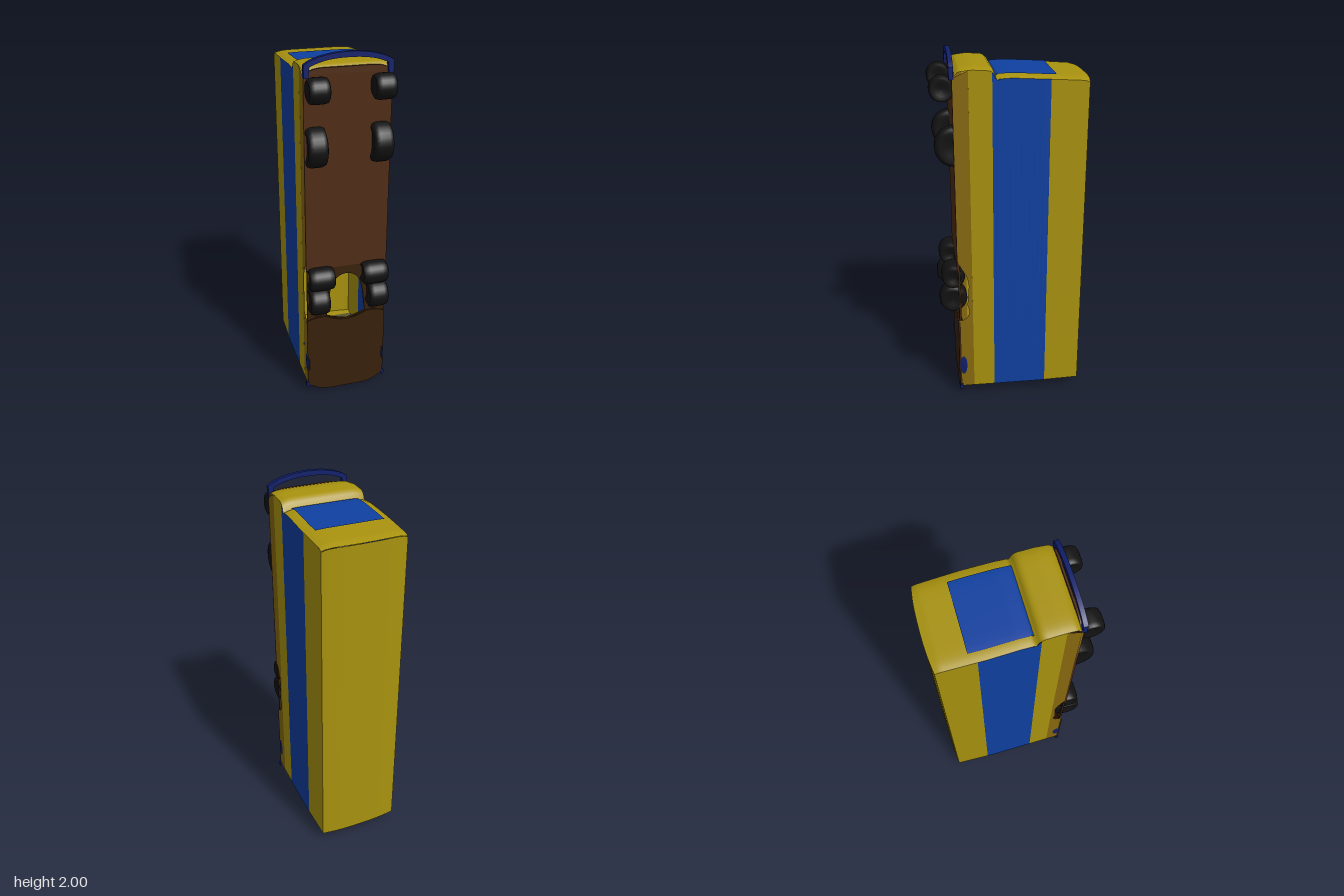
import * as THREE from 'three';

const paint = (color) => new THREE.MeshStandardMaterial({ color, side: THREE.DoubleSide });
const yellow = paint(0xa8920f), ochre = paint(0x87690f), blue = paint(0x0f40a0), navy = paint(0x101f6b);
const darkBlue = paint(0x0b2c74), slate = paint(0x55552e), brown = paint(0x4f2c14), umber = paint(0x38210c), black = paint(0x121213);

export function createModel() {
  const model = new THREE.Group();
  const add = (name, geo, mat, x = 0, y = 0, z = 0) => {
    const m = new THREE.Mesh(geo, mat);
    m.name = name;
    m.position.set(x, y, z);
    model.add(m);
    return m;
  };

  // Skin through a grid of points given by point(u, v), u and v in 0..1
  const skin = (nu, nv, point) => {
    const pos = [], idx = [];
    for (let i = 0; i <= nu; i++) for (let j = 0; j <= nv; j++) pos.push(...point(i / nu, j / nv));
    for (let i = 0; i < nu; i++) for (let j = 0; j < nv; j++) {
      const a = i * (nv + 1) + j, b = a + nv + 1;
      idx.push(a, b, a + 1, b, b + 1, a + 1);
    }
    const g = new THREE.BufferGeometry();
    g.setAttribute('position', new THREE.Float32BufferAttribute(pos, 3));
    g.setIndex(idx);
    g.computeVertexNormals();
    return g;
  };

  // Piecewise linear lookup in [position, value] pairs sorted by position
  const lookup = (table, t) => {
    for (let i = 1; i < table.length; i++) {
      const [a, p] = table[i - 1], [b, q] = table[i];
      if (t <= b) return p + (q - p) * Math.max(0, (t - a) / (b - a));
    }
    return table[table.length - 1][1];
  };
  const halfWidth = (z) => lookup([[-0.4, 0.229], [-0.16, 0.235], [0.1, 0.231], [0.3, 0.228]], z);
  const nose = [[-0.405, 1.86], [-0.38, 1.872], [-0.24, 1.882], [0.0, 1.896], [0.07, 1.892], [0.08, 1.88],
    [0.09, 1.918], [0.11, 1.934], [0.2, 1.94], [0.27, 1.932], [0.3, 1.9]];
  const edgeDrop = (s) => 0.014 * Math.pow(Math.abs(s), 8);
  const noseY = (s, z) => lookup(nose, z) - edgeDrop(s);
  const roofZ = (s) => -0.417 + 0.016 * Math.pow(Math.abs(s), 2.5);
  const tailY = 0.055;

  // Roof
  add('roof', skin(20, 1, (u, v) => {
    const s = u * 2 - 1;
    return [s * 0.229, v ? noseY(s, -0.405) : tailY, roofZ(s)];
  }), yellow);

  // Side bands, from the roof down to the sill
  const bands = [['upperSide', -0.401, -0.2, yellow], ['windowBand', -0.2, 0.1, blue], ['lowerSide', 0.1, 0.22, yellow]];
  for (const side of [1, -1]) {
    for (const [name, z0, z1, mat] of bands) {
      add(name, skin(12, 1, (u, v) => {
        const z = z0 + (z1 - z0) * u;
        return [side * halfWidth(z), v ? noseY(1, z) : tailY, z];
      }), mat);
    }
    // Sill, cut out around the rear wheels
    const sill = new THREE.Shape();
    sill.moveTo(0.22, tailY);
    sill.lineTo(0.3, tailY);
    sill.lineTo(0.3, 0.5);
    sill.bezierCurveTo(0.23, 0.51, 0.235, 0.56, 0.25, 0.6);
    sill.lineTo(0.24, 0.72);
    sill.bezierCurveTo(0.24, 0.8, 0.3, 0.84, 0.3, 0.9);
    sill.lineTo(0.3, 1.886);
    sill.lineTo(0.22, 1.925);
    add('sill', new THREE.ShapeGeometry(sill, 10).rotateY(-Math.PI / 2), ochre, side * 0.229);
  }

  // Front end with windscreen
  const noseSkin = (z0, z1, width, lift) => skin(50, 24, (u, v) => {
    const z = z0 + (z1 - z0) * u, s = (v * 2 - 1) * width;
    const crown = z < -0.39 ? roofZ(s) - roofZ(1) : 0;
    return [s * halfWidth(z), noseY(s, z) + lift, z + crown];
  });
  add('frontEnd', noseSkin(-0.401, 0.3, 1, 0), yellow);
  add('windscreen', noseSkin(-0.235, 0.078, 0.8, 0.005), blue);

  // Rear end in horizontal stripes
  const stripes = [[-0.401, -0.36, yellow], [-0.36, -0.33, slate], [-0.33, -0.28, ochre],
    [-0.28, 0.08, darkBlue], [0.08, 0.2, ochre], [0.2, 0.3, umber]];
  stripes.forEach(([z0, z1, mat], i) => add('rearPanel', skin(4, 20, (u, v) => {
    const s = v * 2 - 1, z = z0 + (z1 - z0) * u;
    return [s * halfWidth(z), tailY, i === 0 && u === 0 ? roofZ(s) : z];
  }), mat));

  // Floor plates
  const plate = (shape, depth) => new THREE.ExtrudeGeometry(shape, { depth, bevelEnabled: false, curveSegments: 16 });
  const frontFloor = new THREE.Shape();
  frontFloor.moveTo(-0.229, 0.82);
  frontFloor.lineTo(0.229, 0.82);
  frontFloor.lineTo(0.229, 1.89);
  frontFloor.quadraticCurveTo(0.2, 1.925, 0.12, 1.925);
  frontFloor.lineTo(-0.12, 1.925);
  frontFloor.quadraticCurveTo(-0.2, 1.925, -0.229, 1.89);
  add('frontFloor', plate(frontFloor, 0.012), brown, 0, 0, 0.29);

  const midFloor = new THREE.Shape();
  midFloor.moveTo(-0.225, 0.46);
  midFloor.lineTo(0.225, 0.46);
  midFloor.lineTo(0.225, 0.82);
  midFloor.lineTo(-0.225, 0.82);
  const arch = new THREE.Path();
  arch.moveTo(0, 0.475);
  arch.quadraticCurveTo(0.06, 0.485, 0.115, 0.51);
  arch.bezierCurveTo(0.09, 0.58, 0.12, 0.76, 0, 0.77);
  arch.bezierCurveTo(-0.12, 0.76, -0.09, 0.58, -0.115, 0.51);
  arch.quadraticCurveTo(-0.06, 0.485, 0, 0.475);
  midFloor.holes.push(arch);
  for (const side of [1, -1]) {
    for (const [x, y, rx, ry] of [[0.165, 0.545, 0.035, 0.03], [0.165, 0.71, 0.025, 0.025]]) {
      const gap = new THREE.Path();
      gap.absellipse(side * x, y, rx, ry, 0, Math.PI * 2);
      midFloor.holes.push(gap);
    }
  }
  add('rearAxleFloor', plate(midFloor, 0.012), umber, 0, 0, 0.285);

  const rearFloor = new THREE.Shape();
  rearFloor.moveTo(-0.229, 0.49);
  rearFloor.lineTo(-0.229, 0.05);
  rearFloor.lineTo(-0.195, 0.04);
  rearFloor.quadraticCurveTo(-0.16, 0.005, -0.08, 0.005);
  rearFloor.lineTo(0.08, 0.005);
  rearFloor.quadraticCurveTo(0.16, 0.005, 0.195, 0.04);
  rearFloor.lineTo(0.229, 0.05);
  rearFloor.lineTo(0.229, 0.49);
  rearFloor.quadraticCurveTo(0.2, 0.51, 0.12, 0.51);
  rearFloor.quadraticCurveTo(0, 0.44, -0.12, 0.51);
  rearFloor.quadraticCurveTo(-0.2, 0.51, -0.229, 0.49);
  add('rearFloor', plate(rearFloor, 0.012), umber, 0, 0, 0.292);

  // Rear bumper lip with small corner fins
  const lip = new THREE.Shape();
  lip.moveTo(-0.19, 0.06);
  lip.quadraticCurveTo(-0.16, 0, -0.08, 0);
  lip.lineTo(0.08, 0);
  lip.quadraticCurveTo(0.16, 0, 0.19, 0.06);
  add('rearBumper', plate(lip, 0.012), navy, 0, 0, 0.281);

  // Front bumper bar: a flat bow on two struts
  const bow = new THREE.Shape();
  bow.moveTo(-0.23, 1.88);
  bow.lineTo(-0.23, 1.945);
  bow.bezierCurveTo(-0.18, 1.985, -0.08, 2, 0, 2);
  bow.bezierCurveTo(0.08, 2, 0.18, 1.985, 0.23, 1.945);
  bow.lineTo(0.23, 1.88);
  bow.lineTo(0.205, 1.88);
  bow.lineTo(0.2, 1.935);
  bow.bezierCurveTo(0.14, 1.965, 0.07, 1.972, 0, 1.972);
  bow.bezierCurveTo(-0.07, 1.972, -0.14, 1.965, -0.2, 1.935);
  bow.lineTo(-0.205, 1.88);
  add('frontBumper', plate(bow, 0.024), navy, 0, 0, 0.293);

  // Tyre with rounded shoulders, axis along x
  const tyre = (r, w) => {
    const h = w / 2, profile = [[0, -h * 0.8], [r * 0.5, -h * 0.85], [r * 0.75, -h], [r * 0.92, -h * 0.88], [r, -h * 0.5],
      [r, h * 0.5], [r * 0.92, h * 0.88], [r * 0.75, h], [r * 0.5, h * 0.85], [0, h * 0.8]];
    return new THREE.LatheGeometry(profile.map(([x, y]) => new THREE.Vector2(x, y)), 28).rotateZ(Math.PI / 2);
  };
  // [name, y, z, radius, inner x, outer x]
  const wheels = [['frontWheel', 1.828, 0.352, 0.066, 0.115, 0.222], ['secondWheel', 1.525, 0.292, 0.108, 0.12, 0.224],
    ['thirdWheel', 0.77, 0.322, 0.066, 0.08, 0.222], ['rearWheel', 0.635, 0.325, 0.078, 0.112, 0.222]];
  for (const side of [1, -1]) {
    for (const [name, y, z, r, x0, x1] of wheels) add(name, tyre(r, x1 - x0), black, side * (x0 + x1) / 2, y, z);
    add('cornerFin', new THREE.BoxGeometry(0.016, 0.03, 0.02), navy, side * 0.229, 0.055, 0.295);
    // Dark skirt behind the rear wheels
    const skirt = add('rearSkirt', new THREE.SphereGeometry(1, 20, 12), navy, side * 0.222, 0.2, 0.28);
    skirt.scale.set(0.01, 0.085, 0.03);
  }
  return model;
}
